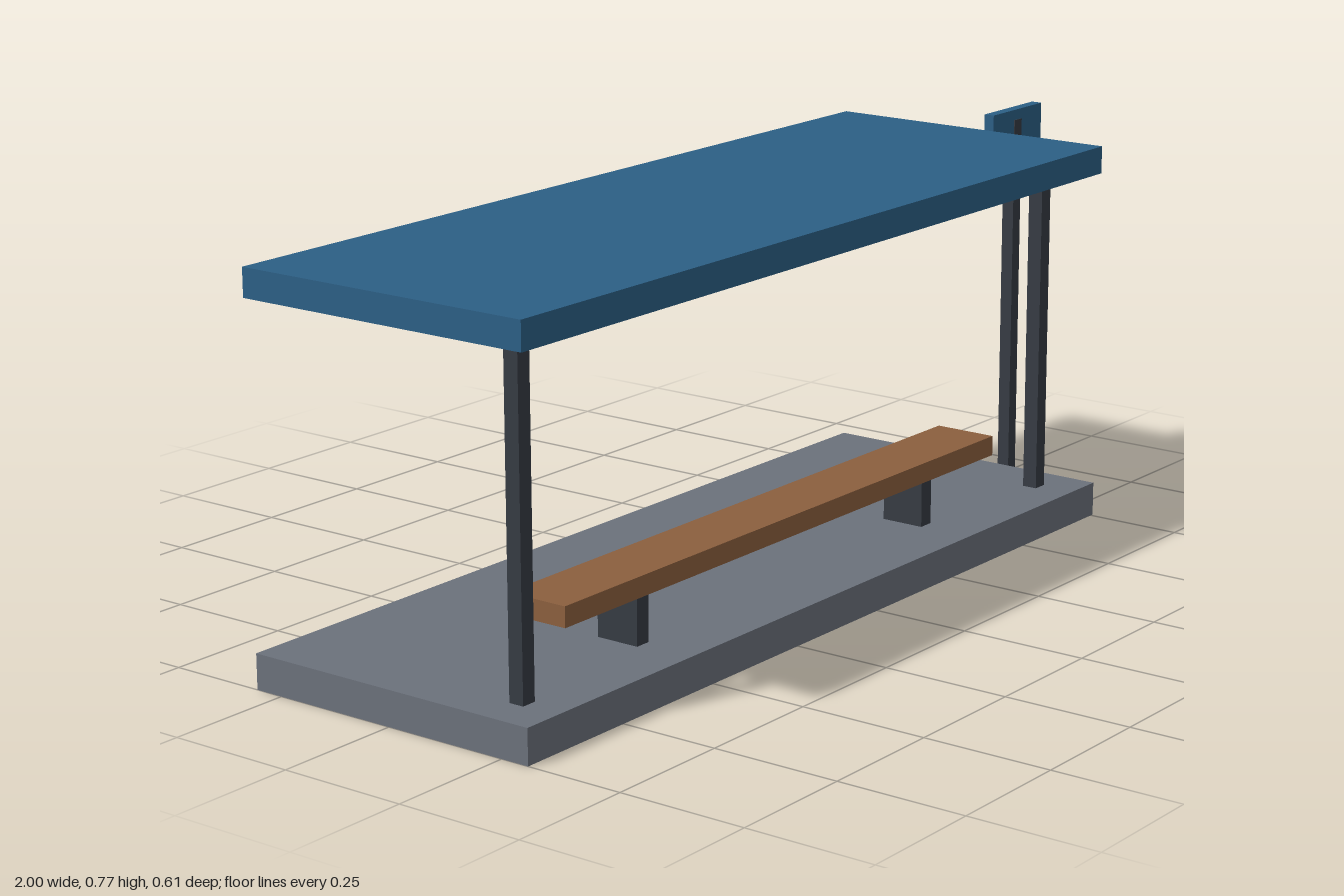
import * as THREE from 'three';

export function createModel() {
  const model = new THREE.Group();
  model.name = 'busShelter';

  const material = (name, color) => {
    const m = new THREE.MeshStandardMaterial({ color });
    m.name = name;
    return m;
  };
  const blue = material('blue paint', 0x2c5f85);
  const concrete = material('grey concrete', 0x6b717b);
  const wood = material('brown wood', 0x8b5f3e);
  const steel = material('dark steel', 0x363b43);

  // Box given by its centre in x and z, its bottom and top, and its width and depth
  const box = (parent, name, mat, x, z, bottom, top, width, depth) => {
    const mesh = new THREE.Mesh(new THREE.BoxGeometry(width, top - bottom, depth), mat);
    mesh.position.set(x, (bottom + top) / 2, z);
    mesh.name = name;
    parent.add(mesh);
  };

  // Shelter: platform, roof, two posts and a bench, symmetric about its own centre
  const shelter = new THREE.Group();
  shelter.name = 'shelter';
  shelter.position.x = -0.122;
  model.add(shelter);
  box(shelter, 'platform', concrete, 0, 0, 0, 0.067, 1.756, 0.614);
  box(shelter, 'roof', blue, 0, 0, 0.7, 0.754, 1.756, 0.614);
  box(shelter, 'benchSeat', wood, 0, 0.143, 0.158, 0.197, 1.317, 0.127);
  for (const side of [-1, 1]) {
    const label = side > 0 ? 'left' : 'right';
    box(shelter, label + 'RoofPost', steel, side * 0.79, 0.221, 0.067, 0.7, 0.03, 0.03);
    box(shelter, label + 'BenchLeg', steel, side * 0.439, 0.155, 0.067, 0.158, 0.032, 0.088);
  }

  // Free-standing stop sign beside the shelter; its pole stands slightly proud of the panel
  const sign = new THREE.Group();
  sign.name = 'stopSign';
  sign.position.x = 0.911;
  model.add(sign);
  box(sign, 'signPole', steel, 0, 0, 0, 0.75, 0.026, 0.026);
  box(sign, 'signPanel', blue, 0, 0, 0.596, 0.771, 0.178, 0.022);

  return model;
}
